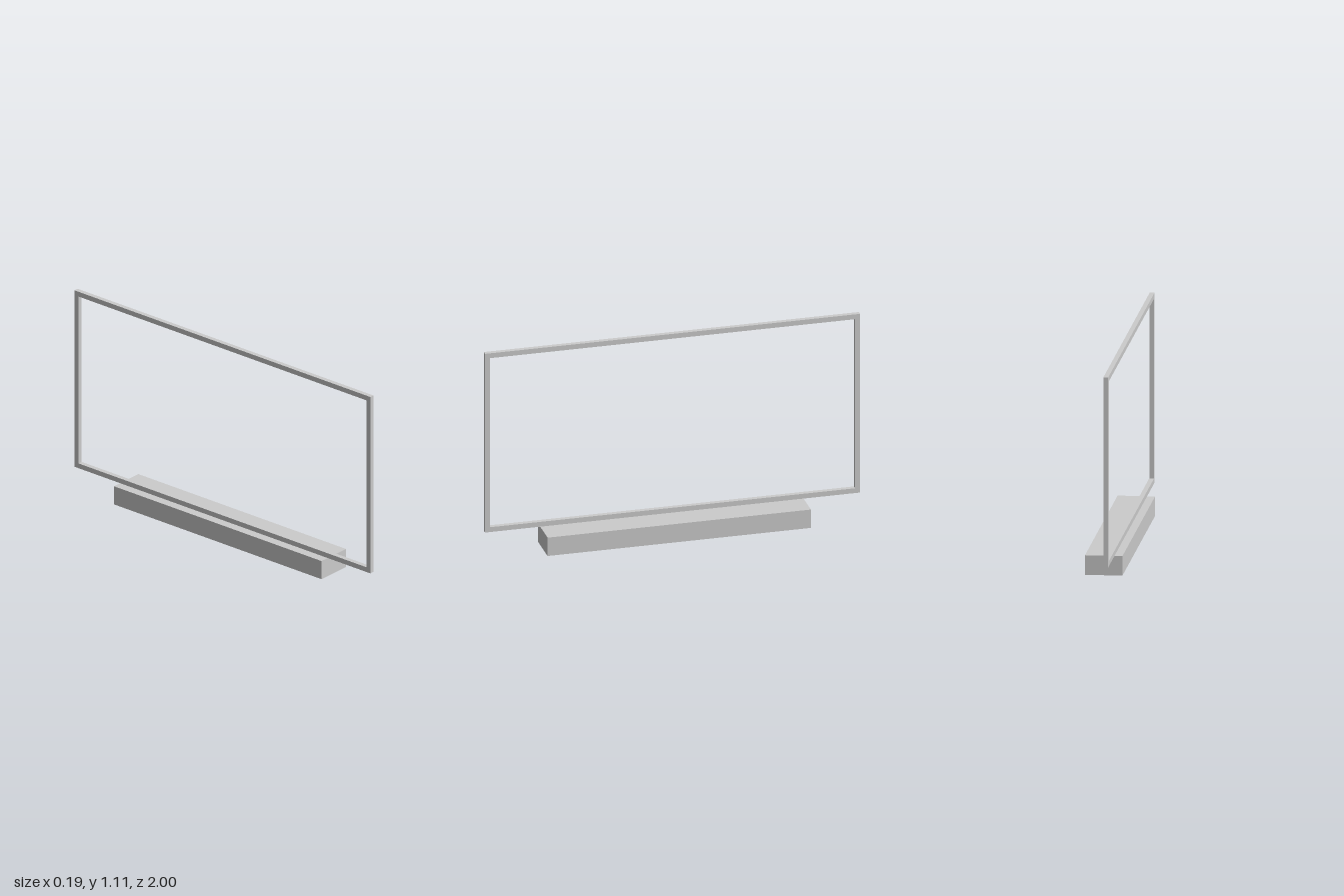
import * as THREE from 'three';

// Closed rectangle path centred on the origin
function rectangle(PathType, width, height) {
  const w = width / 2, h = height / 2;
  return new PathType([[-w, -h], [w, -h], [w, h], [-w, h]].map(([x, y]) => new THREE.Vector2(x, y)));
}

export function createModel() {
  const group = new THREE.Group();
  const material = new THREE.MeshStandardMaterial({ color: 0xcccccc, flatShading: true });

  // Long low base block
  const base = new THREE.Mesh(new THREE.BoxGeometry(0.194, 0.103, 1.404), material);
  base.name = 'base';
  base.position.y = 0.0515;
  group.add(base);

  // Open rectangular frame, standing just above the base and off its centre line
  const width = 2, height = 1.003, border = 0.027, depth = 0.025;
  const outline = rectangle(THREE.Shape, width, height);
  outline.holes.push(rectangle(THREE.Path, width - 2 * border, height - 2 * border));
  const geometry = new THREE.ExtrudeGeometry(outline, { depth, bevelEnabled: false });
  geometry.translate(0, 0, -depth / 2).rotateY(Math.PI / 2);
  const frame = new THREE.Mesh(geometry, material);
  frame.name = 'screenFrame';
  frame.position.set(-0.047, 0.11 + height / 2, 0);
  group.add(frame);

  return group;
}
